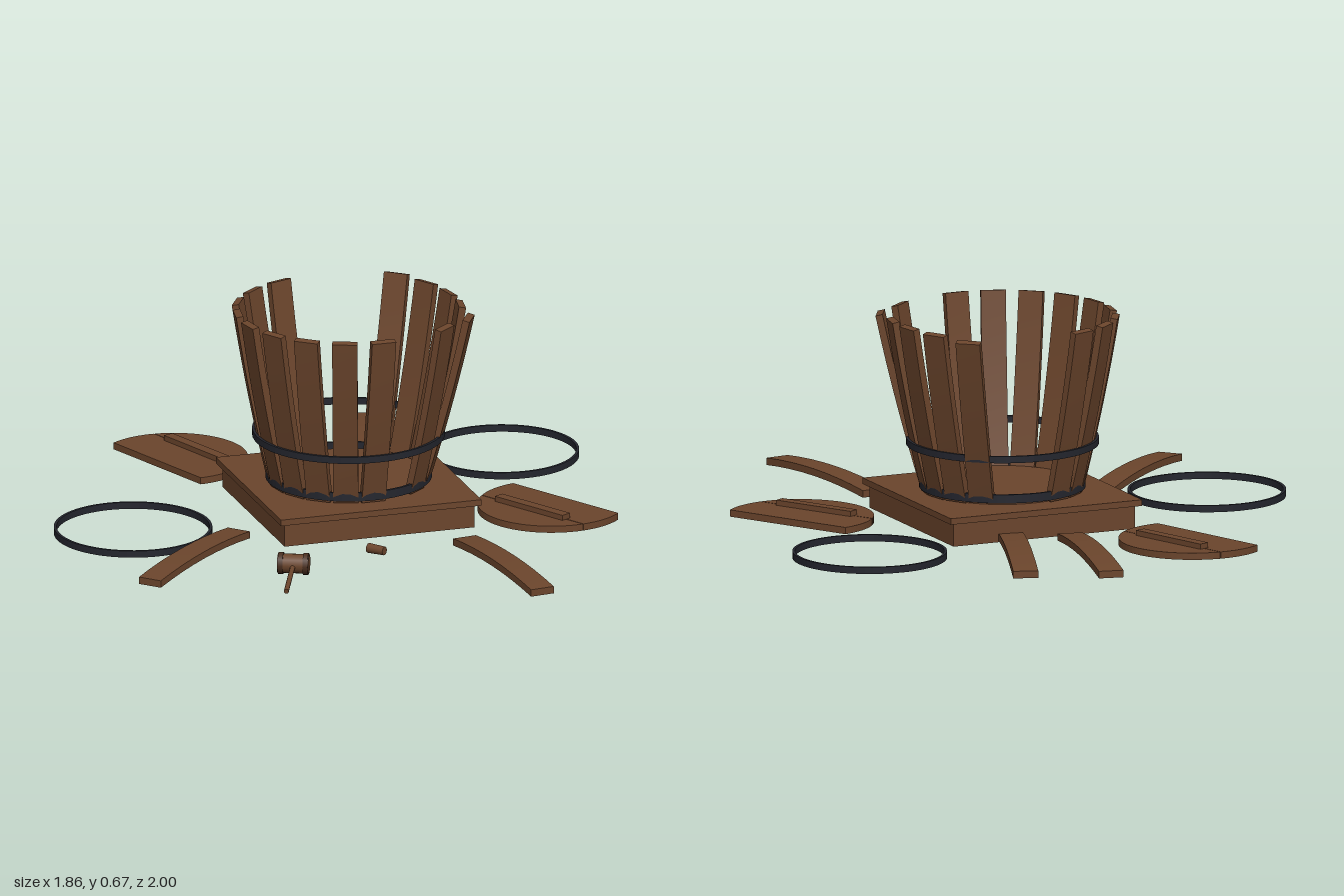
import * as THREE from 'three';

const wood = new THREE.MeshStandardMaterial({ color: 0x6b452c });
wood.name = 'brown wood';
const iron = new THREE.MeshStandardMaterial({ color: 0x24262e });
iron.name = 'dark iron';
const darkWood = new THREE.MeshStandardMaterial({ color: 0x4a2f20 });
darkWood.name = 'dark wood';

const CX = 0.055, CZ = -0.045; // barrel and stand centre
const HEAD_R = 0.235, STAVE_L = 0.575;

export function createModel() {
  const model = new THREE.Group();
  model.name = 'barrelWorkshop';

  function add(parent, name, geometry, material, x = 0, y = 0, z = 0) {
    const mesh = new THREE.Mesh(geometry, material);
    mesh.name = name;
    mesh.position.set(x, y, z);
    parent.add(mesh);
    return mesh;
  }

  function addGroup(name, x, y, z, turn) {
    const group = new THREE.Group();
    group.name = name;
    group.position.set(x, y, z);
    group.rotation.y = turn;
    model.add(group);
    return group;
  }

  // Stave: a plank along y, bowed towards +z in the middle
  function staveGeometry(sag) {
    const g = new THREE.BoxGeometry(0.08, STAVE_L, 0.023, 1, 8, 1);
    const p = g.attributes.position;
    for (let i = 0; i < p.count; i++) {
      const t = p.getY(i) / (STAVE_L / 2);
      p.setZ(i, p.getZ(i) + sag * (1 - t * t));
    }
    g.computeVertexNormals();
    return g;
  }

  // Hoop: a thin flat band lying around y
  function hoop(name, r, x, y, z, height) {
    const shape = new THREE.Shape().absarc(0, 0, r, 0, Math.PI * 2);
    shape.holes.push(new THREE.Path().absarc(0, 0, r - 0.009, 0, Math.PI * 2, true));
    const g = new THREE.ExtrudeGeometry(shape, { depth: height, bevelEnabled: false, curveSegments: 32 });
    g.rotateX(-Math.PI / 2);
    add(model, name, g, iron, x, y, z);
  }

  // Square stand and the round barrel bottom on it
  add(model, 'standBlock', new THREE.BoxGeometry(0.635, 0.077, 0.635), wood, CX, 0.0385, CZ);
  add(model, 'standTop', new THREE.BoxGeometry(0.67, 0.02, 0.67), wood, CX, 0.086, CZ);
  add(model, 'barrelBottom', new THREE.CylinderGeometry(HEAD_R, HEAD_R, 0.024, 48), wood, CX, 0.108, CZ);

  // Standing staves: angle in degrees and radius at the top
  const standing = [
    [10, 0.36], [30, 0.39], [50, 0.36], [90, 0.355], [110, 0.355], [130, 0.355], [150, 0.355], [170, 0.355],
    [190, 0.355], [210, 0.36], [230, 0.36], [250, 0.36], [310, 0.41], [330, 0.37], [350, 0.36],
  ];
  const standingGeometry = staveGeometry(0.006);
  for (const [angle, topR] of standing) {
    const holder = addGroup('standingStave', CX, 0, CZ, Math.PI / 2 - THREE.MathUtils.degToRad(angle));
    const bottomR = 0.246;
    const stave = add(holder, 'stave', standingGeometry, wood, 0, 0.383, (bottomR + topR) / 2);
    stave.rotation.x = Math.asin((topR - bottomR) / STAVE_L);
  }

  // Hoops on the barrel and on the ground
  hoop('lowerHoop', 0.265, CX, 0.106, CZ, 0.028);
  hoop('upperHoop', 0.307, CX, 0.246, CZ, 0.022);
  hoop('looseHoop', 0.252, -0.677, 0, -0.01, 0.022);
  hoop('looseHoop', 0.246, 0.681, 0, -0.395, 0.022);

  // Loose staves on the ground: centre x, z and direction x, z
  const lying = [
    [0.053, -0.71, 0.115, -0.56],
    [0.262, -0.612, 0.195, -0.54],
    [-0.58, 0.322, -0.42, 0.385],
    [0.328, 0.706, 0.075, 0.57],
  ];
  const lyingGeometry = staveGeometry(0.017);
  lyingGeometry.rotateX(-Math.PI / 2);
  for (const [x, z, dx, dz] of lying) {
    add(model, 'looseStave', lyingGeometry, wood, x, 0.0115, z).rotation.y = Math.atan2(dx, dz);
  }

  // One plank of a round head, cut between two parallel chords
  function headPlank(d0, d1) {
    const a0 = Math.acos(d0 / HEAD_R), a1 = Math.acos(d1 / HEAD_R), points = [];
    for (let side = -1; side <= 1; side += 2) {
      for (let i = 0; i <= 14; i++) {
        const t = side < 0 ? i / 14 : 1 - i / 14;
        const a = side * (a0 + (a1 - a0) * t);
        points.push(new THREE.Vector2(Math.cos(a) * HEAD_R, Math.sin(a) * HEAD_R));
      }
    }
    if (d1 >= HEAD_R) points.splice(15, 1); // both arcs meet in one point
    const g = new THREE.ExtrudeGeometry(new THREE.Shape(points), { depth: 0.022, bevelEnabled: false });
    return g.rotateX(-Math.PI / 2);
  }

  // Unfinished heads: two planks joined by a cleat
  for (const [x, z, nx, nz] of [[-0.333, -0.645, 0.94, -0.34], [0.66, 0.178, -0.87, 0.5]]) {
    const head = addGroup('unfinishedHead', x, 0, z, Math.atan2(-nz, nx));
    add(head, 'middlePlank', headPlank(-0.068, 0.088), wood);
    add(head, 'edgePlank', headPlank(0.091, HEAD_R), wood);
    add(head, 'cleat', new THREE.BoxGeometry(0.035, 0.018, 0.29), wood, 0.09, 0.03, 0);
  }

  // Mallet: head along local x, handle sloping down along local z
  const mallet = addGroup('mallet', -0.327, 0.042, 0.563, Math.atan2(-0.42, 0.9));
  const malletHead = add(mallet, 'malletHead', new THREE.CylinderGeometry(0.031, 0.031, 0.1, 20), wood);
  malletHead.rotation.z = Math.PI / 2;
  for (const side of [-1, 1]) {
    const band = add(mallet, 'malletBand', new THREE.CylinderGeometry(0.035, 0.035, 0.016, 20), darkWood, side * 0.04);
    band.rotation.z = Math.PI / 2;
  }
  const handle = add(mallet, 'malletHandle', new THREE.CylinderGeometry(0.008, 0.008, 0.215, 10), wood, 0, -0.014, 0.085);
  handle.rotation.x = Math.PI / 2 + 0.16;

  // Bung lying in front
  const bung = addGroup('bung', -0.008, 0.016, 0.435, -Math.atan2(0.77, 0.64));
  const plug = add(bung, 'plug', new THREE.CylinderGeometry(0.016, 0.014, 0.06, 14), wood);
  plug.rotation.z = Math.PI / 2;

  return model;
}
